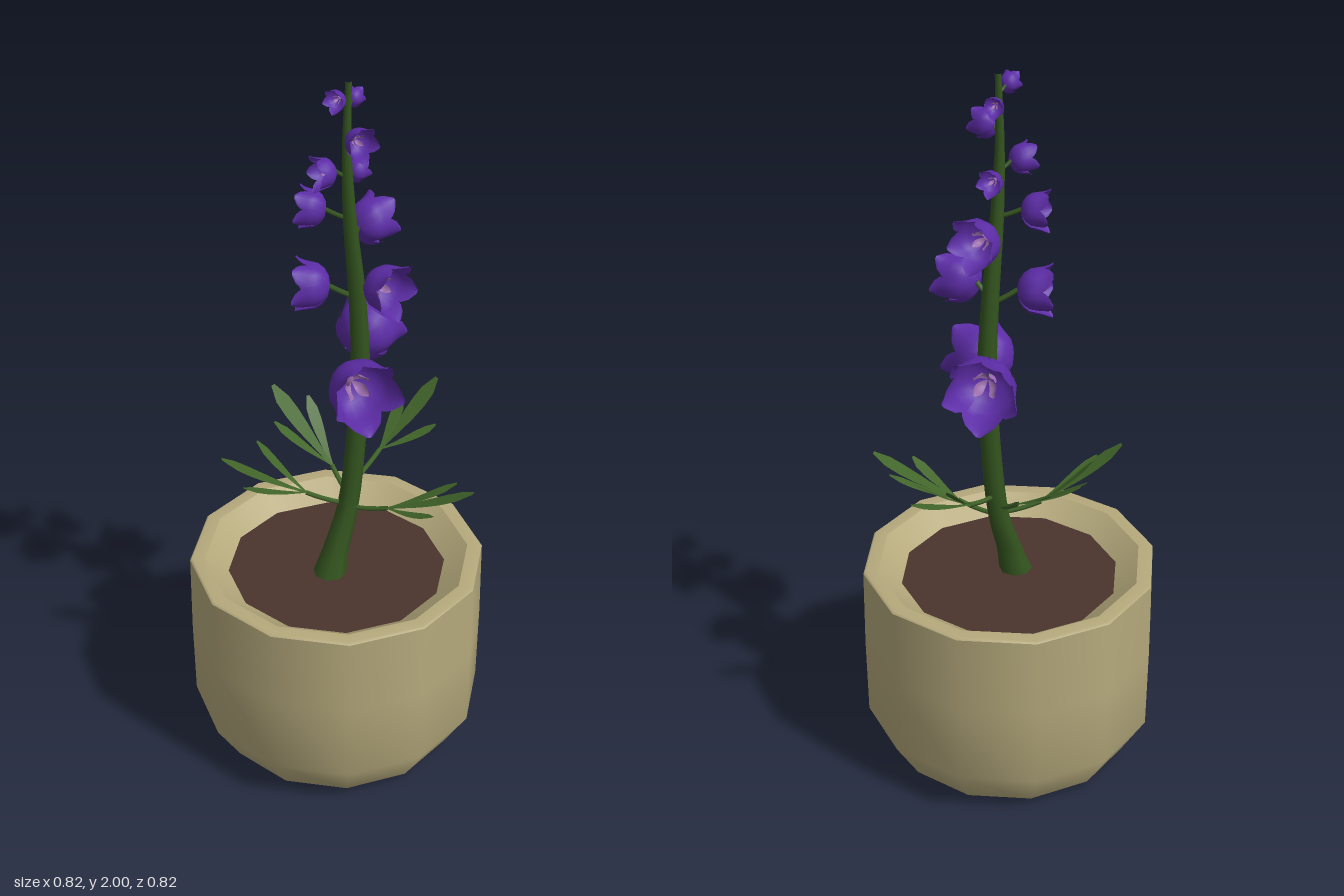
import * as THREE from 'three';
import { ParametricGeometry } from 'three/addons/geometries/ParametricGeometry.js';

const mat = (name, color, side = THREE.FrontSide) => {
  const m = new THREE.MeshStandardMaterial({ color, side });
  m.name = name;
  return m;
};
const V = (x, y, z) => new THREE.Vector3(x, y, z);

function mesh(parent, name, geometry, material) {
  const m = new THREE.Mesh(geometry, material);
  m.name = name;
  parent.add(m);
  return m;
}

// Linear lookup in a short list of values spread evenly over 0..1
function along(list, t) {
  const f = Math.min(t, 0.9999) * (list.length - 1);
  const i = Math.floor(f);
  return THREE.MathUtils.lerp(list[i], list[i + 1], f - i);
}

function surface(fn, nu, nv) {
  const g = new ParametricGeometry(fn, nu, nv);
  g.computeVertexNormals();
  return g;
}

// Cupped petal: a slice of a bell profile around +z, centred on angle phi
function petal(phi, length, spread, scale) {
  const radius = [0.06, 0.55, 0.86, 0.93, 0.98, 1.12];
  const depth = [-0.65, -0.55, -0.2, 0.2, 0.52, 0.74];
  const half = [0.75, 0.75, 0.74, 0.7, 0.52, 0.12];
  return surface((u, v, p) => {
    const s = u * 2 - 1;
    const a = phi + s * along(half, v) * spread;
    const r = along(radius, v) * length * scale * (1 - 0.06 * s * s);
    p.set(Math.cos(a) * r, Math.sin(a) * r, along(depth, v) * scale);
  }, 4, 7);
}

// Flat leaflet, narrow at its root and rounded near its tip
function leaflet(from, to, width) {
  const mid = from.clone().lerp(to, 0.5).add(V(0, -0.012, 0));
  const curve = new THREE.QuadraticBezierCurve3(from, mid, to);
  const side = V(to.z - from.z, 0, from.x - to.x).normalize();
  const w = [0.2, 0.35, 0.6, 0.85, 1, 0.95, 0.25];
  return surface((u, v, p) => {
    p.copy(curve.getPoint(v)).addScaledVector(side, (u - 0.5) * width * along(w, v));
  }, 2, 12);
}

export function createModel() {
  const root = new THREE.Group();
  root.name = 'pottedFlower';
  const clay = mat('clay', 0xb5a97c);
  const earth = mat('earth', 0x4a352d);
  const stemGreen = mat('stemGreen', 0x34551f);
  const leafGreen = mat('leafGreen', 0x42662a, THREE.DoubleSide);
  const purple = mat('purple', 0x5c2ca6, THREE.DoubleSide);
  const mauve = mat('mauve', 0x9a6cab, THREE.DoubleSide);

  // Twelve-sided pot, one lathe per smooth band
  const pot = new THREE.Group();
  pot.name = 'pot';
  root.add(pot);
  const bands = {
    potBase: [[0, 0], [0.29, 0]],
    potFoot: [[0.29, 0], [0.335, 0.025]],
    potWall: [[0.335, 0.025], [0.405, 0.14], [0.408, 0.37], [0.406, 0.595]],
    potRim: [[0.406, 0.595], [0.4, 0.601], [0.365, 0.6]],
    potInside: [[0.365, 0.6], [0.29, 0.545]],
  };
  for (const [name, pts] of Object.entries(bands)) {
    const profile = pts.map(([x, y]) => new THREE.Vector2(x, y));
    mesh(pot, name, new THREE.LatheGeometry(profile, 12), clay);
  }
  const soil = mesh(root, 'soil', new THREE.CircleGeometry(0.305, 12), earth);
  soil.rotation.x = -Math.PI / 2;
  soil.position.y = 0.553;

  // Tapering, gently bent stem
  const path = new THREE.CatmullRomCurve3([
    V(-0.035, 0.54, 0.012), V(-0.012, 0.62, 0.012), V(0.03, 0.75, 0.01), V(0.055, 0.95, 0.01),
    V(0.068, 1.2, 0.01), V(0.055, 1.42, 0.01), V(0.032, 1.62, 0.012), V(0.02, 1.82, 0.014), V(0.024, 2, 0.015),
  ]);
  const girth = [0.048, 0.036, 0.029, 0.027, 0.026, 0.023, 0.018, 0.012, 0.008];
  const stemAt = (y) => {
    let best = path.getPoint(0);
    for (let i = 1; i <= 200; i++) {
      const p = path.getPoint(i / 200);
      if (Math.abs(p.y - y) < Math.abs(best.y - y)) best = p;
    }
    return best;
  };
  mesh(root, 'stem', new ParametricGeometry((u, v, p) => {
    const a = u * Math.PI * 2;
    const r = along(girth, v);
    p.copy(path.getPoint(v)).add(V(Math.cos(a) * r, 0, -Math.sin(a) * r));
  }, 8, 28), stemGreen);

  const stalk = (parent, name, a, b, sag, r, material) => {
    const mid = a.clone().lerp(b, 0.5).add(V(0, sag, 0));
    mesh(parent, name, new THREE.TubeGeometry(new THREE.QuadraticBezierCurve3(a, mid, b), 5, r, 5), material);
  };

  // Leaves: height on the stem, hub of the leaflets, then three tips (middle one first)
  const leaves = [
    [0.78, V(0.04, 0.83, -0.08), [V(0, 0.985, -0.31), V(-0.045, 0.92, -0.235), V(0.08, 0.95, -0.255)]],
    [0.76, V(-0.06, 0.79, -0.06), [V(-0.27, 0.93, -0.15), V(-0.25, 0.87, -0.075), V(-0.145, 0.93, -0.17)]],
    [0.82, V(0.17, 0.858, -0.035), [V(0.372, 1.01, -0.05), V(0.28, 0.96, -0.085), V(0.33, 0.9, 0.005)]],
    [0.75, V(0.09, 0.775, 0.11), [V(0.225, 0.885, 0.31), V(0.24, 0.86, 0.22), V(0.11, 0.84, 0.285)]],
  ];
  for (const [y, hub, tips] of leaves) {
    const leaf = new THREE.Group();
    leaf.name = 'leaf';
    root.add(leaf);
    stalk(leaf, 'leafStalk', stemAt(y), hub, -0.01, 0.007, leafGreen);
    tips.forEach((tip, i) => mesh(leaf, 'leaflet', leaflet(hub, tip, i ? 0.034 : 0.05), leafGreen));
  }

  // Flowers: centre, facing direction in x and z, radius
  const flowers = [
    [0.0, 1.185, 0.095, -0.15, 1, 0.095],
    [0.15, 1.225, -0.08, 0.8, -0.6, 0.094],
    [0.085, 1.45, 0.085, 0.25, 1, 0.07],
    [-0.035, 1.43, -0.055, -0.75, -0.65, 0.066],
    [0.105, 1.59, -0.01, 1, -0.25, 0.066],
    [-0.035, 1.65, -0.055, -0.7, -0.75, 0.052],
    [-0.035, 1.77, 0, -1, -0.2, 0.042],
    [0.068, 1.74, -0.015, 1, -0.4, 0.033],
    [0.02, 1.86, 0.06, 0, 1, 0.042],
    [0.062, 1.935, -0.018, 0.8, -0.6, 0.026],
    [-0.015, 1.965, 0.022, -0.9, 0.4, 0.028],
  ];
  for (const [x, y, z, dx, dz, size] of flowers) {
    const flower = new THREE.Group();
    flower.name = 'flower';
    flower.position.set(x, y, z);
    flower.lookAt(x + dx, y, z + dz);
    root.add(flower);
    // Five petals, the lowest the longest
    for (let i = 0; i < 5; i++) {
      const phi = -Math.PI / 2 + i * Math.PI * 0.4;
      const length = i === 0 ? 1.08 : i % 2 ? 1 : 0.95;
      mesh(flower, 'petal', petal(phi, length, 1, size), purple);
    }
    // Small pale petals in the throat
    for (let i = 0; i < 4; i++) {
      const inner = mesh(flower, 'throatPetal', petal(Math.PI / 4 + i * Math.PI / 2, 1, 0.7, size * 0.36), mauve);
      inner.position.z = -size * 0.15;
    }
    // Stalk joining the back of the flower to the stem
    const back = V(0, 0, -0.62 * size).applyQuaternion(flower.quaternion).add(flower.position);
    stalk(root, 'flowerStalk', stemAt(y - size * 0.5), back, -0.005, size * 0.08 + 0.002, stemGreen);
  }
  return root;
}
